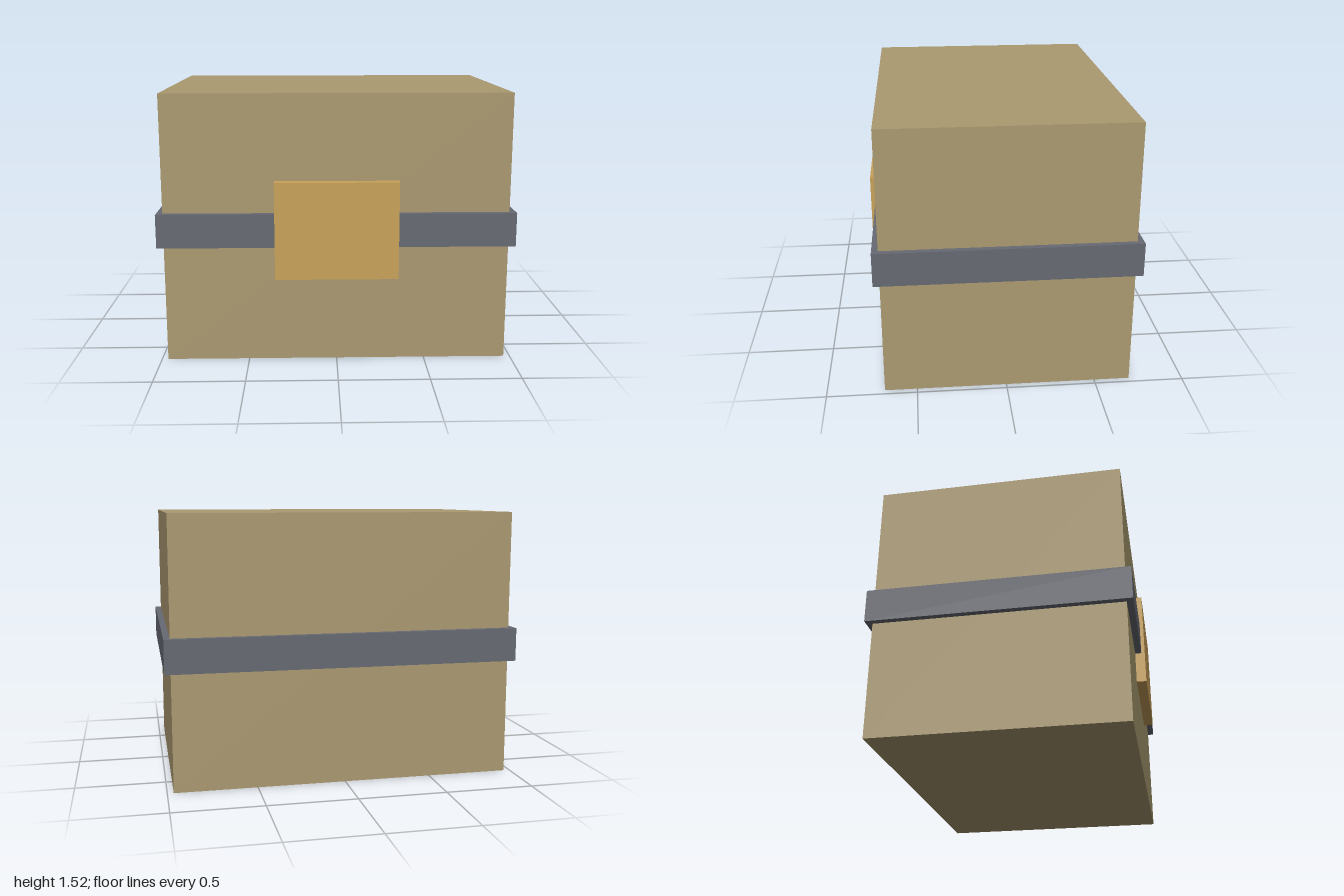
import * as THREE from 'three';

const material = (name, color) => {
  const m = new THREE.MeshStandardMaterial({ color });
  m.name = name;
  return m;
};

// Box given by its minimum and maximum corners
function block(name, min, max, mat) {
  const size = max.map((v, i) => v - min[i]);
  const mesh = new THREE.Mesh(new THREE.BoxGeometry(...size), mat);
  mesh.position.set(...max.map((v, i) => (v + min[i]) / 2));
  mesh.name = name;
  return mesh;
}

export function createModel() {
  const tan = material('tan', 0xab9a71);
  const slate = material('slate grey', 0x676a73);
  const gold = material('gold', 0xc9a25a);

  const group = new THREE.Group();
  group.name = 'strappedCrate';
  group.add(
    // Main box
    block('body', [-0.965, 0, -0.7], [0.965, 1.517, 0.68], tan),
    // Strap around the middle
    block('strap', [-1, 0.665, -0.735], [1, 0.855, 0.715], slate),
    // Clasp plate on the front
    block('clasp', [-0.345, 0.485, 0.68], [0.345, 1.035, 0.735], gold),
  );
  return group;
}
